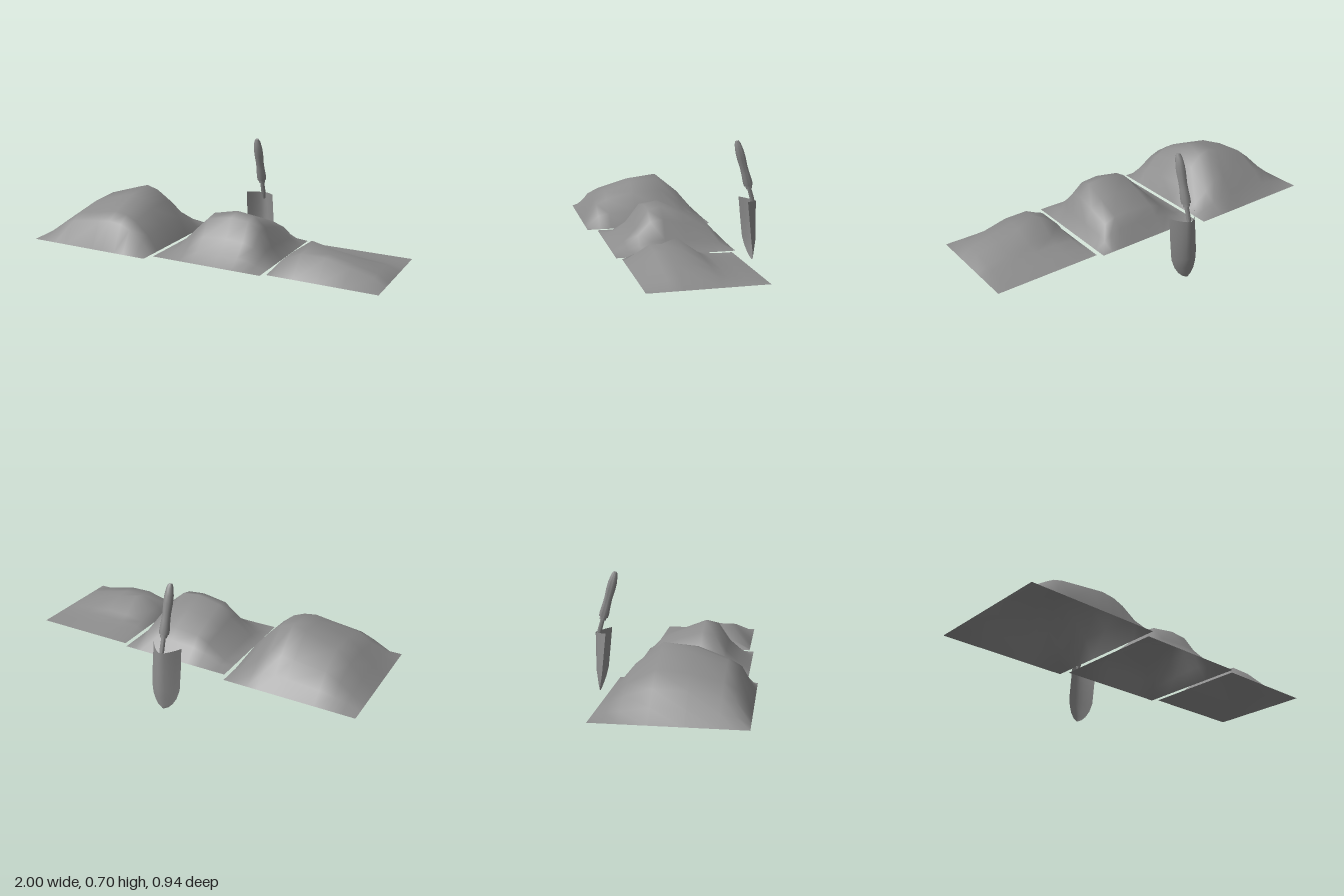
import * as THREE from 'three';
import { toCreasedNormals } from 'three/addons/utils/BufferGeometryUtils.js';

const material = new THREE.MeshStandardMaterial({ color: 0x8c8c8c, side: THREE.DoubleSide });
const BASE = 0.164;

function part(name, geometry) {
  const mesh = new THREE.Mesh(geometry, material);
  mesh.name = name;
  return mesh;
}

// Sheet of (cols x rows) points given by a function, with smooth normals
function sheet(cols, rows, pointAt) {
  const positions = [], index = [];
  for (let j = 0; j < rows; j++)
    for (let i = 0; i < cols; i++) positions.push(...pointAt(i, j));
  for (let j = 0; j < rows - 1; j++)
    for (let i = 0; i < cols - 1; i++) {
      const a = j * cols + i, b = a + 1, c = a + cols, d = c + 1;
      index.push(a, c, b, b, c, d);
    }
  const g = new THREE.BufferGeometry();
  g.setAttribute('position', new THREE.Float32BufferAttribute(positions, 3));
  g.setIndex(index);
  g.computeVertexNormals();
  return g;
}

// Open earth mound: the profiles along x and z are blended into a height field,
// then single points [column, row, offset] are raised or lowered
function mound(name, xProfile, zProfile, bumps = []) {
  const top = Math.max(...xProfile.map(p => p[1])) - BASE;
  const norm = h => (h - BASE) / top;
  return part(name, sheet(xProfile.length, zProfile.length, (i, j) => {
    const [x, hx] = xProfile[i], [z, hz] = zProfile[j];
    const a = norm(hx), b = norm(hz);
    const bump = bumps.find(p => p[0] === i && p[1] === j);
    return [x, BASE + top * (0.75 * a * b + 0.25 * Math.min(a, b)) + (bump ? bump[2] : 0), z];
  }));
}

function createTrowel() {
  const trowel = new THREE.Group();
  trowel.name = 'trowel';
  trowel.position.x = 0.005;

  // Curved blade, bulging to the back: [edge y, centre y, half width, edge z, centre z]
  const rows = [
    [0.0, 0.0, 0.006, -0.447, -0.449], [0.012, 0.01, 0.03, -0.443, -0.451],
    [0.035, 0.03, 0.053, -0.436, -0.454], [0.07, 0.065, 0.073, -0.426, -0.459],
    [0.12, 0.12, 0.086, -0.415, -0.467], [0.24, 0.235, 0.087, -0.402, -0.467],
    [0.358, 0.346, 0.085, -0.39, -0.467],
  ];
  const cols = 9;
  trowel.add(part('blade', sheet(cols, rows.length, (i, j) => {
    const u = (i / (cols - 1)) * 2 - 1;
    const [ye, yc, w, ze, zc] = rows[j];
    const k = Math.abs(u) ** 1.5;
    return [u * w, yc + (ye - yc) * k, zc + (ze - zc) * k];
  })));

  // Tilted grip, ferrule and neck share one axis
  const shaft = new THREE.Group();
  shaft.name = 'shaft';
  shaft.position.set(0, 0.437, -0.42);
  shaft.rotation.x = 0.279;
  const turned = (name, points) => shaft.add(part(name, toCreasedNormals(
    new THREE.LatheGeometry(points.map(p => new THREE.Vector2(...p)), 10), 0.7)));
  turned('grip', [[0, 0], [0.026, 0], [0.028, 0.02], [0.024, 0.075], [0.023, 0.11],
    [0.026, 0.165], [0.025, 0.205], [0.019, 0.245], [0.011, 0.266], [0, 0.266]]);
  turned('ferrule', [[0, -0.018], [0.019, -0.018], [0.019, 0.002], [0, 0.002]]);
  turned('neck', [[0, -0.13], [0.008, -0.13], [0.013, -0.085], [0.012, -0.015], [0, -0.015]]);
  trowel.add(shaft);
  return trowel;
}

export function createModel() {
  const model = new THREE.Group();
  model.name = 'moundsAndTrowel';

  // Its back corner on the +x side is sunken
  model.add(mound('largeMound',
    [[-1, BASE], [-0.93, 0.225], [-0.86, 0.295], [-0.78, 0.36], [-0.6, 0.415],
      [-0.53, 0.435], [-0.46, 0.415], [-0.4, 0.36], [-0.32, 0.265], [-0.265, BASE]],
    [[-0.27, BASE], [-0.2, 0.235], [-0.13, 0.32], [0.01, 0.435], [0.175, 0.415],
      [0.33, 0.355], [0.395, 0.315], [0.468, BASE]],
    [[8, 1, -0.015], [8, 2, -0.03], [7, 1, -0.015], [7, 2, -0.03]]));

  model.add(mound('middleMound',
    [[-0.242, BASE], [-0.18, 0.185], [-0.08, 0.3], [-0.01, 0.37], [0.13, 0.4],
      [0.23, 0.387], [0.295, 0.33], [0.335, 0.23], [0.392, BASE]],
    [[-0.22, BASE], [-0.15, 0.24], [-0.1, 0.295], [0.03, 0.35], [0.145, 0.4],
      [0.215, 0.38], [0.28, 0.28], [0.345, 0.21], [0.413, BASE]]));

  // Flat crest with one raised peak
  model.add(mound('smallMound',
    [[0.417, BASE], [0.455, 0.218], [0.56, 0.27], [0.69, 0.267], [0.82, 0.235],
      [0.94, 0.205], [1, BASE]],
    [[-0.193, BASE], [-0.1, 0.18], [-0.02, 0.195], [0.03, 0.215], [0.14, 0.27],
      [0.215, 0.269], [0.28, 0.268], [0.387, BASE]],
    [[2, 4, 0.026]]));

  model.add(createTrowel());
  return model;
}
